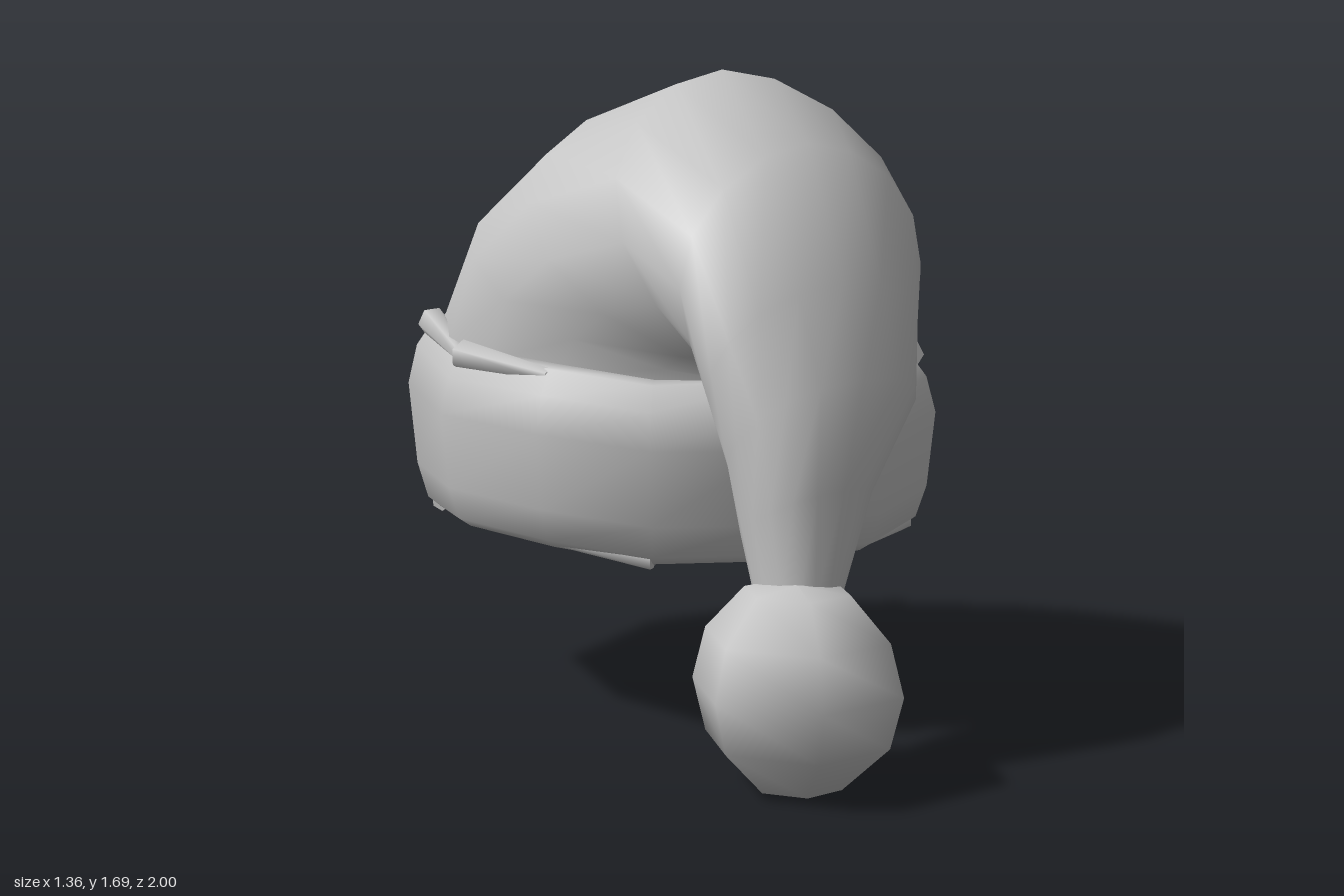
import * as THREE from 'three';

// Skin closed cross-section rings into one smooth surface
function loft(rings, material) {
  const n = rings[0].length, index = [];
  for (let r = 0; r < rings.length - 1; r++) {
    for (let i = 0; i < n; i++) {
      const a = r * n + i, b = r * n + (i + 1) % n;
      index.push(a, b, b + n, a, b + n, a + n);
    }
  }
  const geometry = new THREE.BufferGeometry().setFromPoints(rings.flat());
  geometry.setIndex(index);
  geometry.computeVertexNormals();
  return new THREE.Mesh(geometry, material);
}

export function createModel() {
  const group = new THREE.Group();
  const grey = new THREE.MeshStandardMaterial({ color: 0xc4c4c4, side: THREE.DoubleSide });
  grey.name = 'plain grey';
  const add = (mesh, name) => { mesh.name = name; group.add(mesh); return mesh; };

  // Crown and drooping tail: sections fan over the front of the band
  // inner y, inner z, outer y, outer z, centre x, half width, taper towards the ridge
  const sections = [
    [0.80, 0.37, 0.80, -0.89, 0.00, 0.58, 1],
    [0.90, 0.38, 1.00, -0.89, -0.01, 0.585, 1],
    [0.90, 0.38, 1.33, -0.74, -0.015, 0.58, 1.25],
    [0.90, 0.39, 1.57, -0.41, -0.02, 0.56, 1.35],
    [0.89, 0.39, 1.69, -0.02, 0.00, 0.495, 1.12],
    [0.86, 0.40, 1.53, 0.43, -0.095, 0.405, 1.1],
    [0.80, 0.42, 1.20, 0.62, -0.15, 0.34, 0.95],
    [0.70, 0.45, 0.98, 0.75, -0.195, 0.28, 0.8],
    [0.57, 0.50, 0.72, 0.775, -0.28, 0.175, 0.85],
    [0.42, 0.58, 0.46, 0.80, -0.35, 0.10, 1],
  ];
  const sides = 16;
  add(loft(sections.map(([iy, iz, oy, oz, cx, w, taper]) =>
    Array.from({ length: sides }, (_, i) => {
      const t = i / sides * Math.PI * 2, k = (1 + Math.cos(t)) / 2, s = Math.sin(t);
      const x = cx - w * Math.sign(s) * Math.abs(s) ** taper;
      return new THREE.Vector3(x, iy + (oy - iy) * k, iz + (oz - iz) * k);
    })), grey), 'crownAndTail');

  // Fur band: plan corners with x, z, bottom height, top height
  const plan = [
    [0.68, -0.07, 0.50, 0.96], [0.62, -0.50, 0.49, 0.96], [0.36, -0.84, 0.47, 1.01],
    [-0.04, -1.00, 0.49, 1.04], [-0.48, -0.79, 0.47, 1.00], [-0.68, -0.35, 0.50, 0.97],
    [-0.67, 0.05, 0.50, 0.97], [-0.50, 0.30, 0.47, 0.94], [-0.24, 0.47, 0.47, 0.93],
    [0.12, 0.50, 0.46, 0.93], [0.47, 0.31, 0.46, 0.94],
  ];
  const midZ = -0.25;
  const bandPoint = ([x, z, low, high], scale, level) => new THREE.Vector3(
    x * scale, low + (high - low) * level, midZ + (z - midZ) * scale);
  const bandLoft = profile => loft(profile.map(([s, l]) => plan.map(p => bandPoint(p, s, l))), grey);
  // scale from the middle, and level from bottom (0) to top (1)
  add(bandLoft([[0.84, 0.05], [0.88, 0], [0.93, 0.05], [0.97, 0.23], [1, 0.65],
    [0.965, 0.85], [0.9, 0.98], [0.85, 1], [0.8, 0.9]]), 'furBand');

  // Shallow domed lining that closes the opening
  add(bandLoft([0.84, 0.7, 0.5, 0.25, 0].map(
    s => [s, 0.05 + 0.27 * (1 - (s / 0.84) ** 2)])), 'lining');

  // Tapered fur rolls lying along the band edges
  const roll = (a, b, thin, thick, name) => {
    const axis = b.clone().sub(a);
    const mesh = add(new THREE.Mesh(
      new THREE.CylinderGeometry(thick, thin, axis.length(), 6), grey), name);
    mesh.position.copy(a).lerp(b, 0.5);
    mesh.quaternion.setFromUnitVectors(new THREE.Vector3(0, 1, 0), axis.normalize());
  };
  plan.forEach((p, i) => {
    const next = plan[(i + 1) % plan.length];
    if (i < 6 || i === 10) {
      roll(bandPoint(next, 0.89, 0.94), bandPoint(p, 0.9, 0.97), 0.02, 0.042, 'topFurRoll');
    }
    if (i % 3 === 0) {
      roll(bandPoint(p, 0.88, 0.04), bandPoint(next, 0.88, 0.03), 0.015, 0.03, 'bottomFurRoll');
    }
  });

  // Six-sided pompom at the tip of the tail
  const pompomProfile = [[0, 0], [0.12, 0.005], [0.245, 0.12], [0.28, 0.25],
    [0.245, 0.38], [0.14, 0.49], [0, 0.505]].map(([r, y]) => new THREE.Vector2(r, y));
  const pompom = add(new THREE.Mesh(
    new THREE.LatheGeometry(pompomProfile, 6, Math.PI / 6), grey), 'pompom');
  pompom.scale.x = 0.92;
  pompom.position.set(-0.415, 0, 0.757);

  return group;
}
